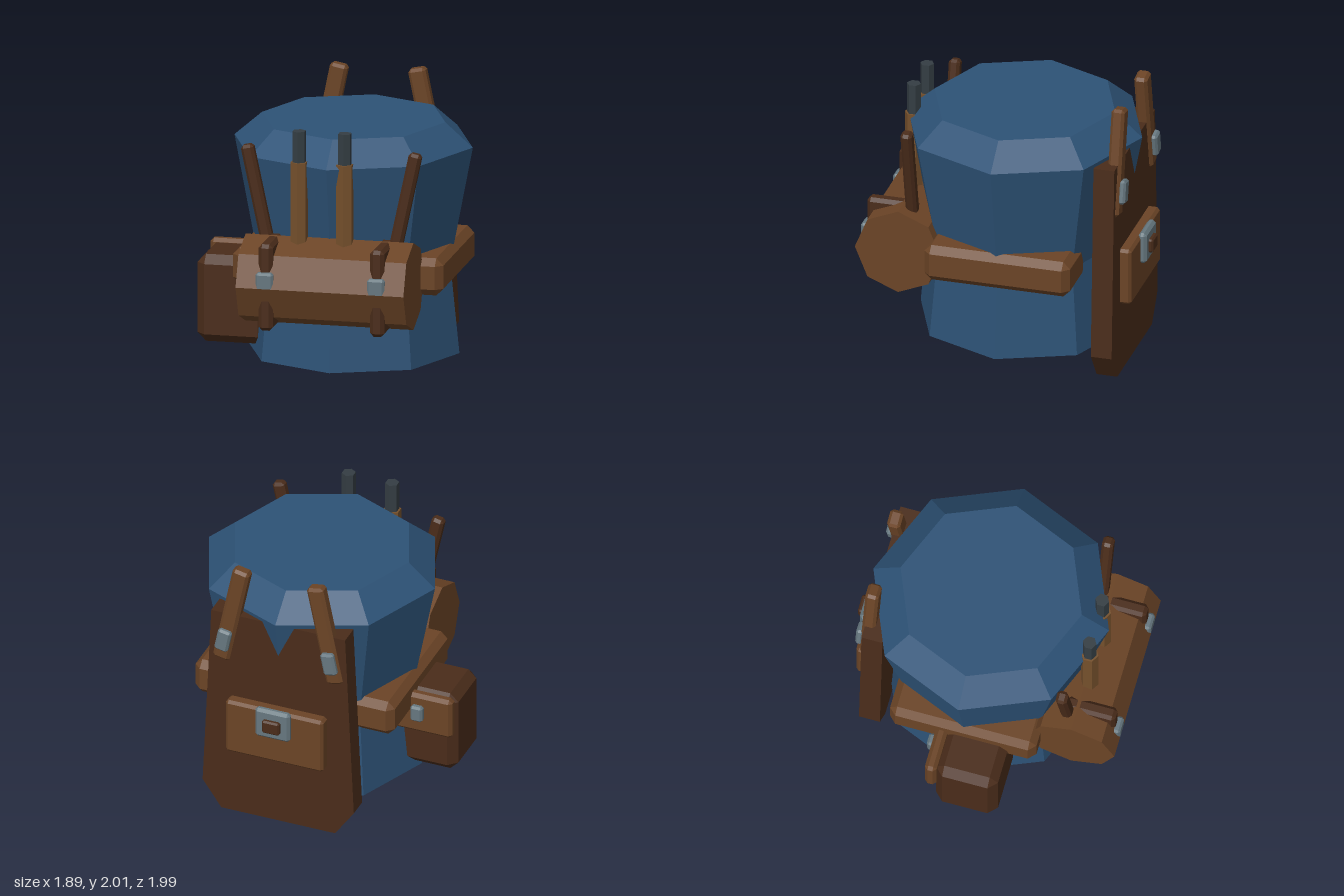
import * as THREE from 'three';
import { ConvexGeometry } from 'three/addons/geometries/ConvexGeometry.js';

const mat = (color) => new THREE.MeshStandardMaterial({ color, flatShading: true });

export function createModel() {
  const model = new THREE.Group();
  model.name = 'backpack';
  // Everything is symmetric about the pack's axis, except the side pouch and tools
  const pack = new THREE.Group();
  pack.name = 'pack';
  pack.position.x = 0.095;
  model.add(pack);

  const cloth = mat(0x2d5276), leather = mat(0x6b4426), darkLeather = mat(0x4a2c1a);
  const wood = mat(0x75502c), metal = mat(0x66777f), darkMetal = mat(0x343d43);

  function add(name, geometry, material, x, y, z) {
    const mesh = new THREE.Mesh(geometry, material);
    mesh.name = name;
    mesh.position.set(x, y, z);
    pack.add(mesh);
    return mesh;
  }

  // Box with every edge chamfered by b
  function chamferBox(w, h, d, b) {
    const points = [];
    for (const sx of [-1, 1]) for (const sy of [-1, 1]) for (const sz of [-1, 1]) {
      const [x, y, z] = [w / 2, h / 2, d / 2];
      points.push(
        new THREE.Vector3(sx * x, sy * (y - b), sz * (z - b)),
        new THREE.Vector3(sx * (x - b), sy * y, sz * (z - b)),
        new THREE.Vector3(sx * (x - b), sy * (y - b), sz * z));
    }
    return new ConvexGeometry(points);
  }

  // Chamfered box given by its extents
  function block(name, material, [x0, x1], [y0, y1], [z0, z1], b) {
    return add(name, chamferBox(x1 - x0, y1 - y0, z1 - z0, b), material,
      (x0 + x1) / 2, (y0 + y1) / 2, (z0 + z1) / 2);
  }

  // Eight-sided waisted sack with a bevelled lid
  const profile = [[0, 0.18], [0.75, 0.18], [0.685, 0.82], [0.845, 1.65], [0.65, 1.82], [0, 1.82]];
  add('sack', new THREE.LatheGeometry(profile.map(([r, y]) => new THREE.Vector2(r, y)), 8),
    cloth, 0, 0, -0.05);

  // Back panel, narrower at the top, with cut lower corners
  const outline = new THREE.Shape([[-0.425, 0], [0.425, 0], [0.565, 0.2], [0.5, 1.62],
    [-0.5, 1.62], [-0.565, 0.2]].map(([x, y]) => new THREE.Vector2(x, y)));
  add('backPanel', new THREE.ExtrudeGeometry(outline, { depth: 0.15, bevelEnabled: false }),
    darkLeather, 0, 0, -0.84);

  // Back pocket and its clasp
  block('backPocket', leather, [-0.365, 0.365], [0.53, 0.95], [-0.92, -0.82], 0.02);
  block('backClasp', metal, [-0.13, 0.13], [0.74, 0.97], [-0.96, -0.9], 0.02);
  block('claspPin', darkLeather, [-0.065, 0.065], [0.8, 0.9], [-0.99, -0.94], 0.012);

  // Belt around the waist
  block('belt', leather, [-0.745, 0.745], [0.705, 0.97], [-0.58, 0.47], 0.05);

  // Bedroll across the front
  const roll = add('bedroll', new THREE.CylinderGeometry(0.31, 0.31, 1.19, 8), leather, 0, 0.83, 0.69);
  roll.rotation.z = Math.PI / 2;

  for (const s of [-1, 1]) {
    // Shoulder straps with buckles, leaning in towards the top
    const strap = add('shoulderStrap', chamferBox(0.125, 0.77, 0.095, 0.02), leather,
      s * 0.35, 1.62, -0.815);
    strap.rotation.z = s * 0.2;
    const buckle = add('strapBuckle', chamferBox(0.1, 0.17, 0.05, 0.015), metal,
      s * 0.395, 1.42, -0.876);
    buckle.rotation.z = s * 0.2;

    // Front straps, leaning out towards the top
    const frontStrap = add('frontStrap', chamferBox(0.09, 0.85, 0.08, 0.02), darkLeather,
      s * 0.51, 1.345, 0.625);
    frontStrap.rotation.z = -s * 0.21;

    // Bands holding the bedroll
    block('rollBand', darkLeather, [s * 0.395 - 0.05, s * 0.395 + 0.05], [0.52, 1.135], [0.6, 0.96], 0.025);
    block('bandBuckle', metal, [s * 0.395 - 0.062, s * 0.395 + 0.062], [0.815, 0.94], [0.94, 1.0], 0.015);
  }

  // Tools standing behind the bedroll
  for (const x of [-0.21, 0.115]) {
    add('toolHandle', new THREE.CylinderGeometry(0.063, 0.063, 0.58, 6), wood, x, 1.39, 0.715);
    add('toolShaft', new THREE.CylinderGeometry(0.049, 0.049, 0.3, 6), darkMetal, x, 1.75, 0.715);
  }

  // Side pouch on the right, its flap and buckle facing back
  block('sidePouch', darkLeather, [-1.045, -0.545], [0.235, 0.855], [-0.17, 0.275], 0.06);
  block('pouchFlap', leather, [-1.045, -0.545], [0.56, 0.87], [-0.24, -0.155], 0.025);
  block('pouchBuckle', metal, [-0.84, -0.75], [0.67, 0.79], [-0.28, -0.22], 0.015);

  return model;
}
